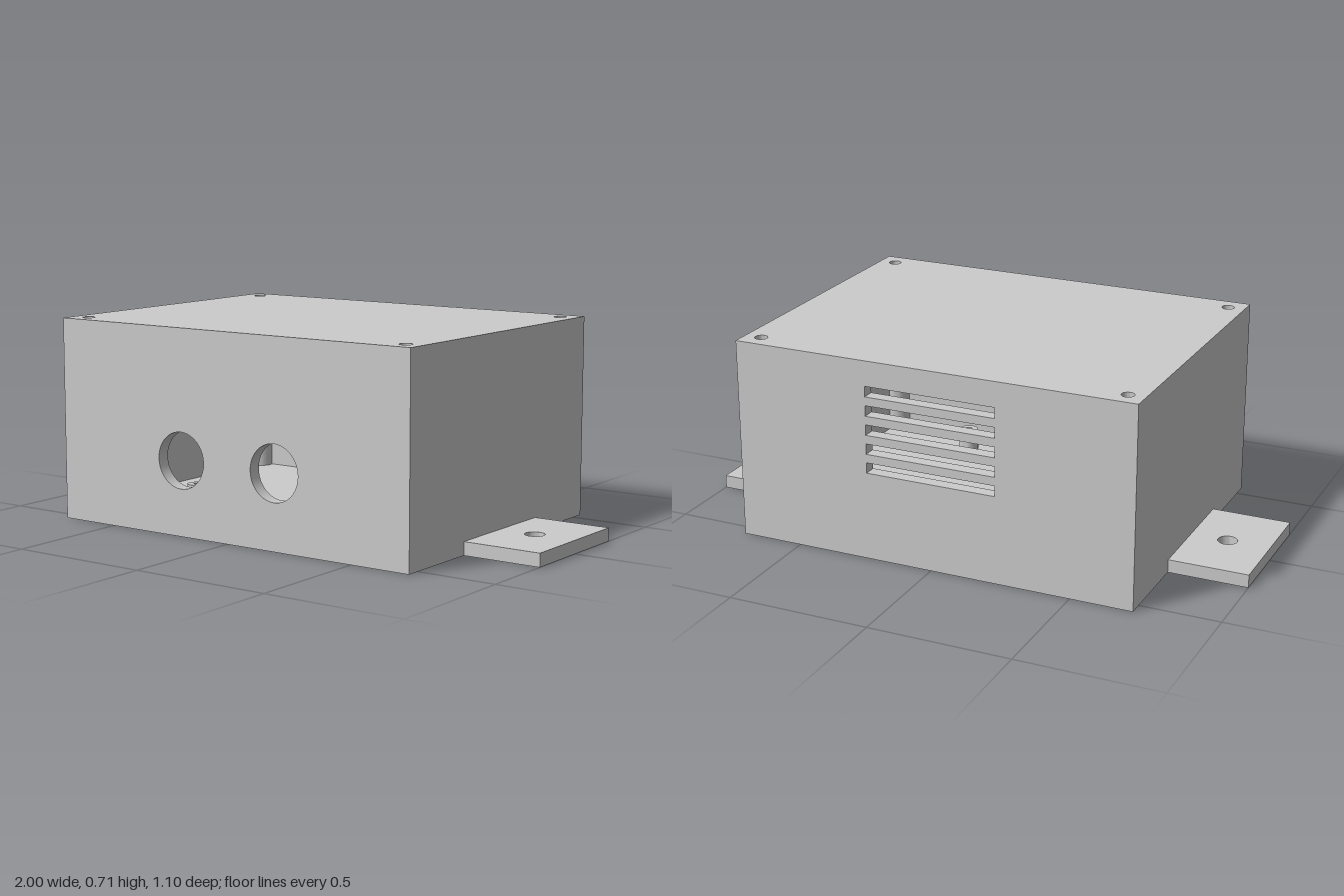
import * as THREE from 'three';
import { toCreasedNormals } from 'three/addons/utils/BufferGeometryUtils.js';

const W = 1.44, H = 0.707, D = 1.1, T = 0.046; // case size and wall thickness
const material = new THREE.MeshStandardMaterial({ color: 0xcccccc });

const circle = (x, y, r) => new THREE.Path().absarc(x, y, r, 0, Math.PI * 2, true);

function rect(Type, x, y, w, h) {
  return new Type([[-1, -1], [1, -1], [1, 1], [-1, 1]].map(
    ([a, b]) => new THREE.Vector2(x + a * w / 2, y + b * h / 2)));
}

// Plate with its outer face at z = 0; mitred plates taper inward so corners meet cleanly
function plate(w, h, holes = [], mitred = true) {
  const shape = rect(THREE.Shape, 0, 0, w, h);
  shape.holes.push(...holes);
  const geo = new THREE.ExtrudeGeometry(shape, { depth: T, bevelEnabled: false, curveSegments: 20 });
  geo.translate(0, 0, -T);
  const p = geo.attributes.position;
  for (let i = 0; mitred && i < p.count; i++) {
    if (p.getZ(i) > -T / 2) continue;
    const x = p.getX(i), y = p.getY(i);
    if (Math.abs(x) > w / 2 - 1e-4) p.setX(i, x - Math.sign(x) * T);
    if (Math.abs(y) > h / 2 - 1e-4) p.setY(i, y - Math.sign(y) * T);
  }
  return toCreasedNormals(geo, 0.6);
}

// Upright round post with a blind bore in its top
function post(radius, bore, bottom, top, depth) {
  const points = [[0, bottom], [radius, bottom], [radius, top], [bore, top], [bore, top - depth], [0, top - depth]];
  const geo = new THREE.LatheGeometry(points.map(([x, y]) => new THREE.Vector2(x, y)), 24);
  return toCreasedNormals(geo.toNonIndexed(), 0.6);
}

export function createModel() {
  const group = new THREE.Group();
  const add = (name, geo, pos, rx = 0, ry = 0) => {
    const mesh = new THREE.Mesh(geo, material);
    mesh.name = name;
    mesh.position.set(...pos);
    mesh.rotation.set(rx, ry, 0);
    group.add(mesh);
  };
  const quarter = Math.PI / 2;
  const corners = [[-1, -1], [1, -1], [1, 1], [-1, 1]];

  // Front wall with two cable openings
  const openings = [-1, 1].map(s => circle(s * 0.195, 0.26 - H / 2, 0.097));
  add('frontWall', plate(W, H, openings), [0, H / 2, D / 2]);

  // Back wall with five ventilation slots
  const slots = [0, 1, 2, 3, 4].map(i => rect(THREE.Path, 0, 0.33 + i * 0.0675 - H / 2, 0.468, 0.037));
  add('backWall', plate(W, H, slots), [0, H / 2, -D / 2], 0, Math.PI);

  // Lid with screw holes, and floor
  const screwHoles = corners.map(([a, b]) => circle(a * 0.66, b * 0.485, 0.022));
  add('lid', plate(W, D, screwHoles), [0, H, 0], -quarter);
  add('floor', plate(W, D), [0, 0, 0], quarter);

  for (const s of [-1, 1]) {
    const side = s > 0 ? 'left' : 'right';
    add(side + 'Wall', plate(D, H), [s * W / 2, H / 2, 0], 0, s * quarter);

    // Mounting tab with bolt hole
    const tab = plate(0.28, 0.46, [circle(-s * 0.01, 0, 0.034)], false);
    add(side + 'MountingTab', tab, [s * 0.86, T, 0], -quarter);
  }

  // Screw posts under the lid corners and board standoffs on the floor
  for (const [a, b] of corners) {
    add('screwPost', post(0.045, 0.015, T / 2, H - 0.037, 0.2), [a * 0.66, 0, b * 0.485]);
    add('standoff', post(0.035, 0.014, T / 2, 0.14, 0.08), [a * 0.29, 0, b * 0.35]);
  }
  return group;
}
